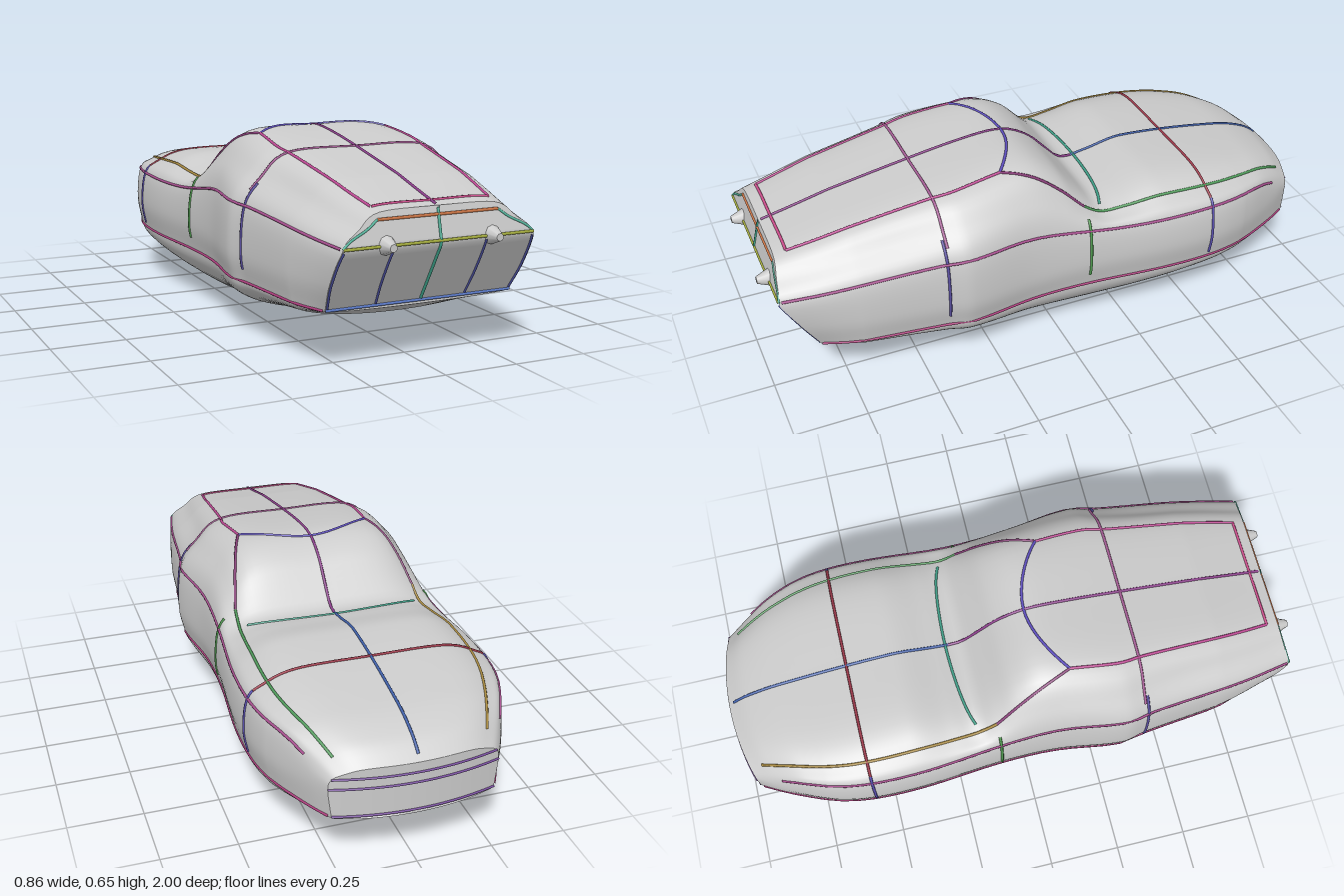
import * as THREE from 'three';

const SILL = 0.19;

// Smooth curve through a few [z, value] points
function profile(points) {
  const slope = k => {
    const a = points[Math.max(k - 1, 0)], b = points[Math.min(k + 1, points.length - 1)];
    return (b[1] - a[1]) / (b[0] - a[0]);
  };
  return z => {
    let i = 0;
    while (i < points.length - 2 && z > points[i + 1][0]) i++;
    const [z0, a] = points[i], [z1, b] = points[i + 1];
    const h = z1 - z0, t = (z - z0) / h, t2 = t * t, t3 = t2 * t;
    return a * (2 * t3 - 3 * t2 + 1) + b * (3 * t2 - 2 * t3)
      + h * (slope(i) * (t3 - 2 * t2 + t) + slope(i + 1) * (t3 - t2));
  };
}

// Centre height, half width, shoulder height and belly height along the body
const topY = profile([[-1, 0.36], [-0.93, 0.41], [-0.8, 0.452], [-0.4, 0.5], [-0.25, 0.475],
  [-0.16, 0.468], [-0.1, 0.522], [-0.03, 0.594], [0.06, 0.64], [0.17, 0.643], [0.42, 0.607], [1, 0.5]]);
const sideX = profile([[-1, 0.275], [-0.94, 0.31], [-0.85, 0.35], [-0.75, 0.385], [-0.6, 0.42],
  [-0.4, 0.425], [-0.1, 0.4], [0.1, 0.4], [0.34, 0.432], [0.42, 0.415], [0.8, 0.37], [1, 0.335]]);
const shoulderY = profile([[-1, 0.325], [-0.8, 0.395], [-0.2, 0.405], [0.2, 0.45], [1, 0.4]]);
const bellyY = profile([[-1, 0.18], [-0.8, 0.115], [-0.6, 0.062], [-0.15, 0], [0.2, 0.03],
  [0.6, 0.105], [1, 0.18]]);

function catmull(a, v) {
  const i = Math.min(Math.floor(v), a.length - 2), t = v - i;
  const p1 = a[i], p2 = a[i + 1], p0 = a[i - 1] ?? 2 * p1 - p2, p3 = a[i + 2] ?? 2 * p2 - p1;
  return p1 + 0.5 * t * (p2 - p0 + t * (2 * p0 - 5 * p1 + 4 * p2 - p3 + t * (3 * (p1 - p2) + p3 - p0)));
}

// Undercut the +z end and round the -z end in plan
function place(x, y, z) {
  if (z > 0.7) {
    const rise = THREE.MathUtils.clamp((y - SILL) / 0.2, 0, 1);
    const end = 0.84 + 0.12 * rise - Math.max(0, y - 0.4) * 0.25;
    z = 0.7 + (z - 0.7) * (end - 0.7) / 0.3;
  } else if (z < -0.7) {
    z = -0.7 + (z + 0.7) * (0.295 - 0.55 * x * x) / 0.3;
  }
  return new THREE.Vector3(x, y, z);
}

// Upper section: v runs 0..10 from the -x sill over the roof to the +x sill
// through sill, side, shoulder, haunch, roof edge and centre
function section(z, v) {
  const w = sideX(z), top = topY(z), low = shoulderY(z);
  const haunch = 0.85 - 0.05 * THREE.MathUtils.smoothstep(z, 0.15, 0.6);
  const xs = [0.96, 1, 0.965, haunch, 0.585].map(k => k * w);
  const ys = [SILL, 0.29, ...[0, 0.5, 0.96].map(k => low + (top - low) * k)];
  return [
    catmull([...xs.map(x => -x), 0, ...xs.reverse()], v),
    catmull([...ys, top, ...ys.slice().reverse()], v),
  ];
}
const upper = (z, v) => place(...section(z, v), z);

function belly(z, t) {
  const a = t * Math.PI;
  return place(0.96 * sideX(z) * Math.cos(a), SILL - (SILL - bellyY(z)) * Math.sin(a), z);
}

function endFace(z, s, v) {
  const [x, y] = section(z, v);
  return place(x * -s, y, z);
}

// Surface from a function on the unit square; its front is du x dv
function surface(fn, nu, nv) {
  const pos = [], index = [];
  for (let i = 0; i <= nu; i++) for (let j = 0; j <= nv; j++) pos.push(...fn(i / nu, j / nv).toArray());
  for (let i = 0; i < nu; i++) for (let j = 0; j < nv; j++) {
    const a = i * (nv + 1) + j, b = a + nv + 1;
    index.push(a, b, a + 1, b, b + 1, a + 1);
  }
  const g = new THREE.BufferGeometry();
  g.setAttribute('position', new THREE.Float32BufferAttribute(pos, 3));
  g.setIndex(index);
  g.computeVertexNormals();
  return g;
}

export function createModel() {
  const model = new THREE.Group();
  const grey = new THREE.MeshStandardMaterial({ color: 0xcccccc, side: THREE.DoubleSide });
  const add = (name, geometry, material = grey) => {
    const m = new THREE.Mesh(geometry, material);
    m.name = name;
    model.add(m);
    return m;
  };
  const zAt = u => -1 + 2 * u;

  // Body shell, rounded belly and the end faces
  add('upperBody', surface((u, v) => upper(zAt(u), v * 10), 120, 60));
  add('belly', surface((u, v) => belly(zAt(u), v), 100, 40));
  add('hatchEnd', surface((u, v) => endFace(1, 2 * u - 1, v * 5), 20, 30));
  add('bonnetEnd', surface((u, v) => endFace(-1, 2 * v - 1, u * 5), 30, 20));
  add('hatchEndBelly', surface((u, v) => belly(1, 1 - u).lerp(place(0, SILL, 1), v), 20, 2));
  add('bonnetEndBelly', surface((u, v) => belly(-1, u).lerp(place(0, SILL, -1), v), 20, 2));

  // Coloured seam lines lying on the surfaces
  const seam = (name, color, fn, radius = 0.005) => {
    const points = Array.from({ length: 25 }, (_, i) => fn(i / 24));
    add(name, new THREE.TubeGeometry(new THREE.CatmullRomCurve3(points), 32, radius, 6),
      new THREE.MeshStandardMaterial({ color }));
  };
  const along = (name, color, z0, z1, v0, v1 = v0) =>
    seam(name, color, t => upper(z0 + (z1 - z0) * t, v0 + (v1 - v0) * t));
  const across = (name, color, z, v0, v1, bow = 0) =>
    seam(name, color, t => upper(z + bow * Math.sin(t * Math.PI), v0 + (v1 - v0) * t));

  along('bonnetCentreSeam', 0x3f5fa8, -0.98, -0.2, 5);
  along('roofCentreSeam', 0x8c3f8c, -0.2, 0.99, 5);
  across('bonnetCrossSeam', 0xa03a4c, -0.56, 2.5, 7.5);
  across('windscreenBaseSeam', 0x3f9f88, -0.17, 3.5, 6.5, -0.04);
  across('hatchTopSeam', 0x5f4fc0, 0.17, 4, 6, -0.1);
  across('hatchCrossSeam', 0xa85f98, 0.41, 2.5, 7.5);
  across('hatchBottomSeam', 0xd0508f, 0.95, 4, 6);

  for (const [side, sideName] of [[1, 'left'], [-1, 'right']]) {
    const v = k => (side > 0 ? 10 - k : k);
    along(sideName + 'SillSeam', 0xb04080, -0.99, 0.99, v(0.02));
    along(sideName + 'WaistSeam', 0xa85090, -0.9, 0.99, v(2));
    along(sideName + 'BonnetSeam', side > 0 ? 0x4f9a5a : 0xa88a40, -0.95, -0.1, v(3.2));
    along(sideName + 'PillarSeam', 0x8a3f7a, -0.1, 0.17, v(3.2), v(4));
    along(sideName + 'HatchSeam', 0xc04a96, 0.17, 0.95, v(4));
    across(sideName + 'DoorFrontSeam', 0x4f9a4f, -0.1, v(0.5), v(2.6));
    across(sideName + 'DoorBackSeam', 0x5a4fa0, 0.42, v(0.5), v(2.8));
    across(sideName + 'WingSeam', 0x5a50b0, -0.56, v(0.2), v(2.5));
    for (const s of [0.48, 0.98])
      seam(sideName + 'HatchEndUpright', 0x4a4f9f, t => endFace(1, s * side, 0.1 + 1.8 * t), 0.004);
    seam(sideName + 'HatchEndSlant', 0x58b8a0, t => endFace(1, (1 - 0.15 * t) * side, 2 + 1.5 * t), 0.004);

    // Small blunt catch on the hatch end
    const endCatch = add(sideName + 'EndCatch', new THREE.CylinderGeometry(0.012, 0.03, 0.045, 10));
    endCatch.rotation.x = Math.PI / 2;
    endCatch.position.set(0.18 * side, 0.4, 0.975);
  }

  // Seams across the end faces
  seam('hatchEndCentreSeam', 0x3fa58c, t => endFace(1, 0, 0.1 + 4.6 * t));
  for (const [v, s, color] of [[0.03, 1, 0x5f7fd0], [2, 1, 0xa8b040], [3.5, 0.85, 0xd07848]])
    seam('hatchEndCrossSeam', color, t => endFace(1, s * (2 * t - 1), v));
  for (const v of [0.03, 1, 2])
    seam('bonnetEndCrossSeam', 0x7a4fa0, t => endFace(-1, 2 * t - 1, v), 0.004);

  return model;
}
